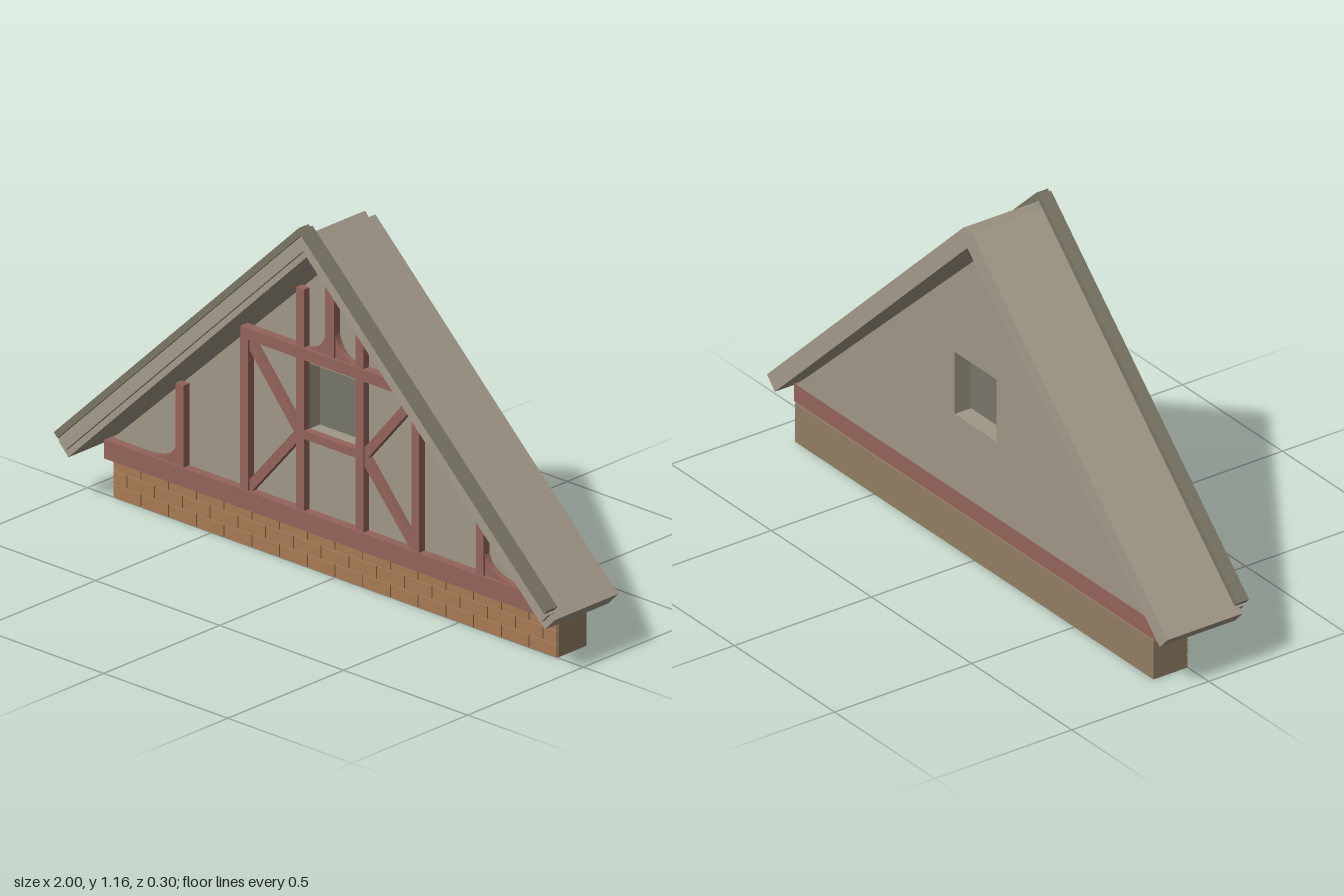
import * as THREE from 'three';

const paint = (name, hex) => Object.assign(new THREE.MeshStandardMaterial({ color: hex }), { name });

export function createModel() {
  const group = new THREE.Group();
  const plaster = paint('plaster', 0xa09887);
  const roofing = paint('roofing', 0xa39a89);
  const capping = paint('capping', 0x7a7666);
  const timber = paint('timber', 0x94645a);
  const brick = paint('brick', 0xa87a54);
  const mortar = paint('mortar', 0x927e64);
  const pane = paint('pane', 0x77756a);

  const add = (name, geometry, material) => {
    const mesh = new THREE.Mesh(geometry, material);
    mesh.name = name;
    group.add(mesh);
    return mesh;
  };
  const box = (name, x0, x1, y0, y1, z0, z1, material) =>
    add(name, new THREE.BoxGeometry(x1 - x0, y1 - y0, z1 - z0), material)
      .position.set((x0 + x1) / 2, (y0 + y1) / 2, (z0 + z1) / 2);
  const extrude = (name, shape, z0, z1, material) =>
    add(name, new THREE.ExtrudeGeometry(shape, { depth: z1 - z0, bevelEnabled: false, curveSegments: 8 }), material)
      .position.z = z0;
  const polygon = (points) => new THREE.Shape(points.map(([x, y]) => new THREE.Vector2(x, y)));

  // Brick plinth: backing block and three staggered courses
  box('plinth', -0.895, 0.895, 0, 0.13, -0.125, -0.005, mortar);
  const courses = 3, perCourse = 16, gap = 0.004;
  const rowHeight = 0.13 / courses, brickLength = 1.79 / perCourse;
  for (let row = 0; row < courses; row++) {
    const shift = row % 2 ? brickLength / 2 : 0;
    for (let i = 0; i <= perCourse; i++) {
      const x0 = Math.max(-0.895, -0.895 + i * brickLength - shift);
      const x1 = Math.min(0.895, -0.895 + (i + 1) * brickLength - shift);
      if (x1 - x0 < 0.02) continue;
      box('brick', x0, x1 - gap, row * rowHeight, (row + 1) * rowHeight - gap, -0.006, 0, brick);
    }
  }

  // Sill beam and gable wall with a window opening
  box('sillBeam', -0.905, 0.905, 0.13, 0.19, -0.12, 0.03, timber);
  const wall = polygon([[-0.895, 0.19], [0.895, 0.19], [0, 1.012]]);
  wall.holes.push(new THREE.Path([[-0.105, 0.445], [-0.105, 0.655], [0.105, 0.655], [0.105, 0.445]]
    .map(([x, y]) => new THREE.Vector2(x, y))));
  extrude('gableWall', wall, -0.12, 0, plaster);
  box('windowPane', -0.105, 0.105, 0.445, 0.655, -0.06, -0.045, pane);

  // Timber frame
  const front = 0.025;
  box('collarBeam', -0.355, 0.355, 0.675, 0.712, 0, 0.03, timber);
  box('windowSill', -0.105, 0.105, 0.42, 0.447, 0, front, timber);
  box('kingPost', -0.018, 0.018, 0.712, 1.015, 0, front, timber);

  // Straight brace of constant width between two points
  const brace = (x0, y0, x1, y1) => {
    const mesh = add('diagonalBrace',
      new THREE.BoxGeometry(Math.hypot(x1 - x0, y1 - y0), 0.03, 0.02), timber);
    mesh.position.set((x0 + x1) / 2, (y0 + y1) / 2, 0.01);
    mesh.rotation.z = Math.atan2(y1 - y0, x1 - x0);
  };
  // Concave corner bracket
  const bracket = (s, x, y, width, height) => {
    const shape = new THREE.Shape();
    shape.moveTo(s * x, y);
    shape.lineTo(s * (x + width), y);
    shape.quadraticCurveTo(s * (x + width * 0.15), y + height * 0.12, s * x, y + height);
    extrude('curvedBracket', shape, 0, 0.02, timber);
  };
  // Sloping board, given the ends of its upper edge and its thickness
  const board = (name, s, [x0, y0], [x1, y1], thickness, z0, z1, material) => {
    const length = Math.hypot(x1 - x0, y1 - y0);
    const nx = (y1 - y0) / length * thickness, ny = -(x1 - x0) / length * thickness;
    extrude(name, polygon([[s * x0, y0], [s * x1, y1],
      [s * (x1 + nx), y1 + ny], [s * (x0 + nx), y0 + ny]]), z0, z1, material);
  };

  for (const s of [-1, 1]) {
    const post = (name, x, top) => box(name, s * x - 0.016, s * x + 0.016, 0.19, top, 0, front, timber);
    post('innerPost', 0.12, 0.897);
    post('middlePost', 0.345, 0.68);
    post('outerPost', 0.605, 0.452);
    brace(s * 0.335, 0.67, s * 0.125, 0.425);
    brace(s * 0.335, 0.195, s * 0.125, 0.435);
    bracket(s, 0.62, 0.19, 0.12, 0.07);
    bracket(s, 0.017, 0.711, 0.085, 0.08);

    // Roof slab, bargeboard and capping strip
    board('roofSlab', s, [0.021, 1.12], [1, 0.188], 0.057, -0.15, 0.125, roofing);
    board('bargeboard', s, [0.008, 1.136], [0.988, 0.205], 0.042, 0.11, 0.14, roofing);
    board('cappingStrip', s, [0.008, 1.16], [0.996, 0.225], 0.021, 0.108, 0.15, capping);
  }
  return group;
}
